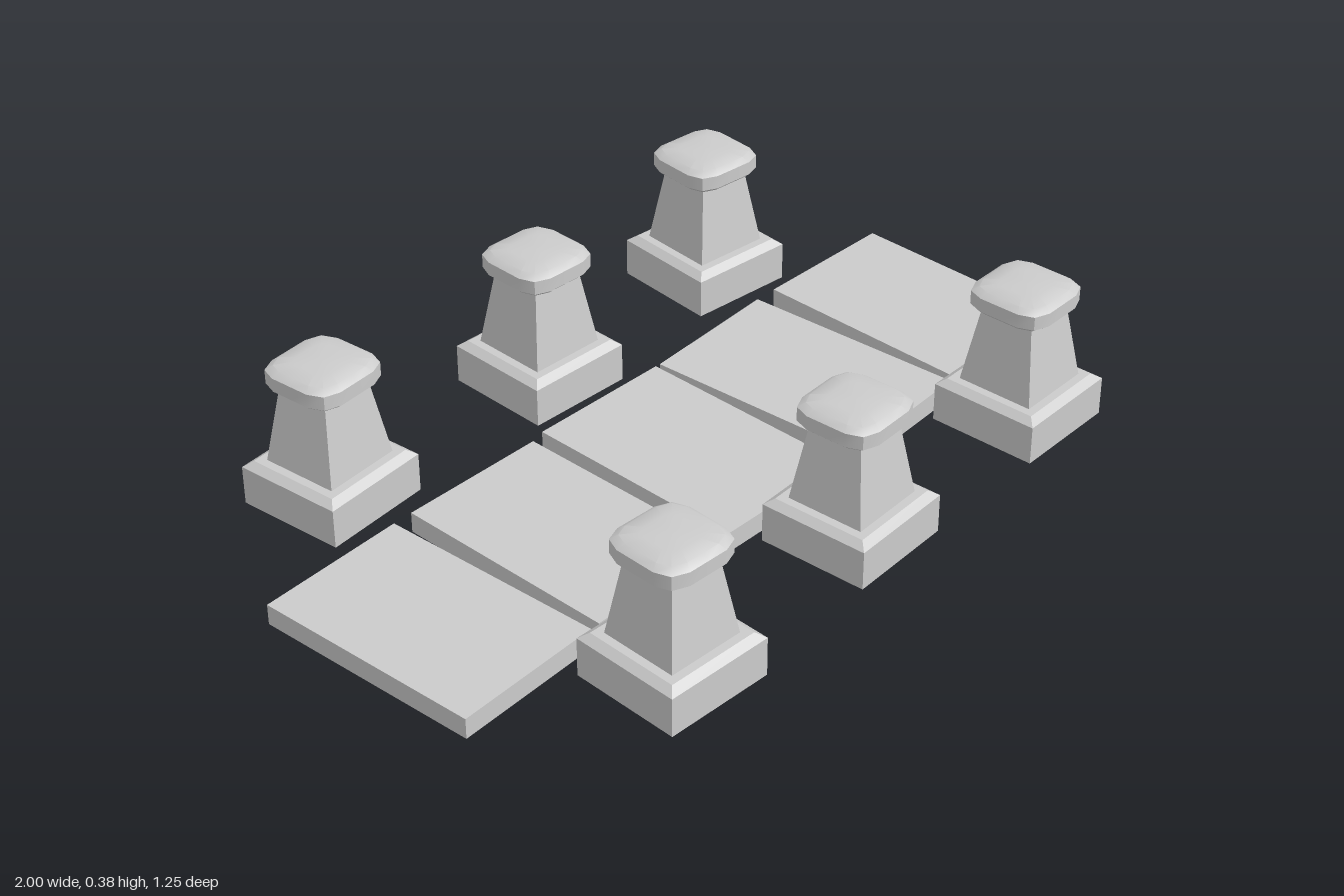
import * as THREE from 'three';
import { toCreasedNormals } from 'three/addons/utils/BufferGeometryUtils.js';

const material = new THREE.MeshStandardMaterial({ color: 0xcccccc });

// Plans are unit outlines, counter-clockwise seen from the front of the xy plane
const squarePlan = [[1, 1], [-1, 1], [-1, -1], [1, -1]];
const quarter = [[1, 0], [1, 0.5], [0.86, 0.86], [0.5, 1]];
const roundedPlan = [];
for (let q = 0; q < 4; q++) {
  for (const [a, b] of quarter) {
    const c = [1, 0, -1, 0][q], s = [0, 1, 0, -1][q];
    roundedPlan.push([a * c - b * s, a * s + b * c]);
  }
}

// Closed solid through scaled copies of a plan; rings are [y, half width] from bottom to top
function loft(plan, rings, crease) {
  const n = plan.length, pos = [], index = [];
  for (const [y, h] of rings) for (const [a, b] of plan) pos.push(a * h, y, -b * h);
  for (let r = 0; r < rings.length - 1; r++) {
    for (let i = 0; i < n; i++) {
      const j = (i + 1) % n, a = r * n + i, b = r * n + j;
      index.push(a, b, b + n, a, b + n, a + n);
    }
  }
  const top = (rings.length - 1) * n, bottomMid = rings.length * n, topMid = bottomMid + 1;
  pos.push(0, rings[0][0], 0, 0, rings[rings.length - 1][0], 0);
  for (let i = 0; i < n; i++) {
    const j = (i + 1) % n;
    index.push(bottomMid, j, i, topMid, top + i, top + j);
  }
  const g = new THREE.BufferGeometry();
  g.setAttribute('position', new THREE.Float32BufferAttribute(pos, 3));
  g.setIndex(index);
  return toCreasedNormals(g, crease);
}

function addMesh(parent, name, geometry) {
  const mesh = new THREE.Mesh(geometry, material);
  mesh.name = name;
  parent.add(mesh);
  return mesh;
}

export function createModel() {
  const model = new THREE.Group();
  model.name = 'stonePathWithPosts';

  // Paving slabs: [x, turn]
  const slabs = [[-0.81, 0.024], [-0.405, -0.024], [0, -0.032], [0.4, 0.038], [0.807, -0.035]];
  const slabGeometry = new THREE.BoxGeometry(0.368, 0.05, 0.562);
  slabs.forEach(([x, turn], i) => {
    const slab = addMesh(model, `slab${i + 1}`, slabGeometry);
    slab.position.set(x, 0.025, 0);
    slab.rotation.y = turn;
  });

  // Post parts: bevelled plinth, tapered shaft, rounded cap
  const plinth = loft(squarePlan, [[0.028, 0.134], [0.122, 0.134], [0.136, 0.115]], 0.2);
  const shaft = loft(squarePlan, [[0.13, 0.096], [0.33, 0.065]], 0.2);
  const cap = loft(roundedPlan, [
    [0.32, 0.085], [0.333, 0.1], [0.366, 0.1], [0.377, 0.085], [0.382, 0.05],
  ], 0.5);

  // Posts along both sides: [x, z, turn]
  const posts = [
    [-0.63, -0.48, 0.065], [0, -0.46, -0.05], [0.6, -0.48, -0.115],
    [-0.6, 0.48, -0.06], [0, 0.455, 0.025], [0.605, 0.453, 0],
  ];
  posts.forEach(([x, z, turn], i) => {
    const post = new THREE.Group();
    post.name = `post${i + 1}`;
    addMesh(post, 'plinth', plinth);
    addMesh(post, 'shaft', shaft);
    addMesh(post, 'cap', cap);
    post.position.set(x, 0, z);
    post.rotation.y = turn;
    model.add(post);
  });
  return model;
}
